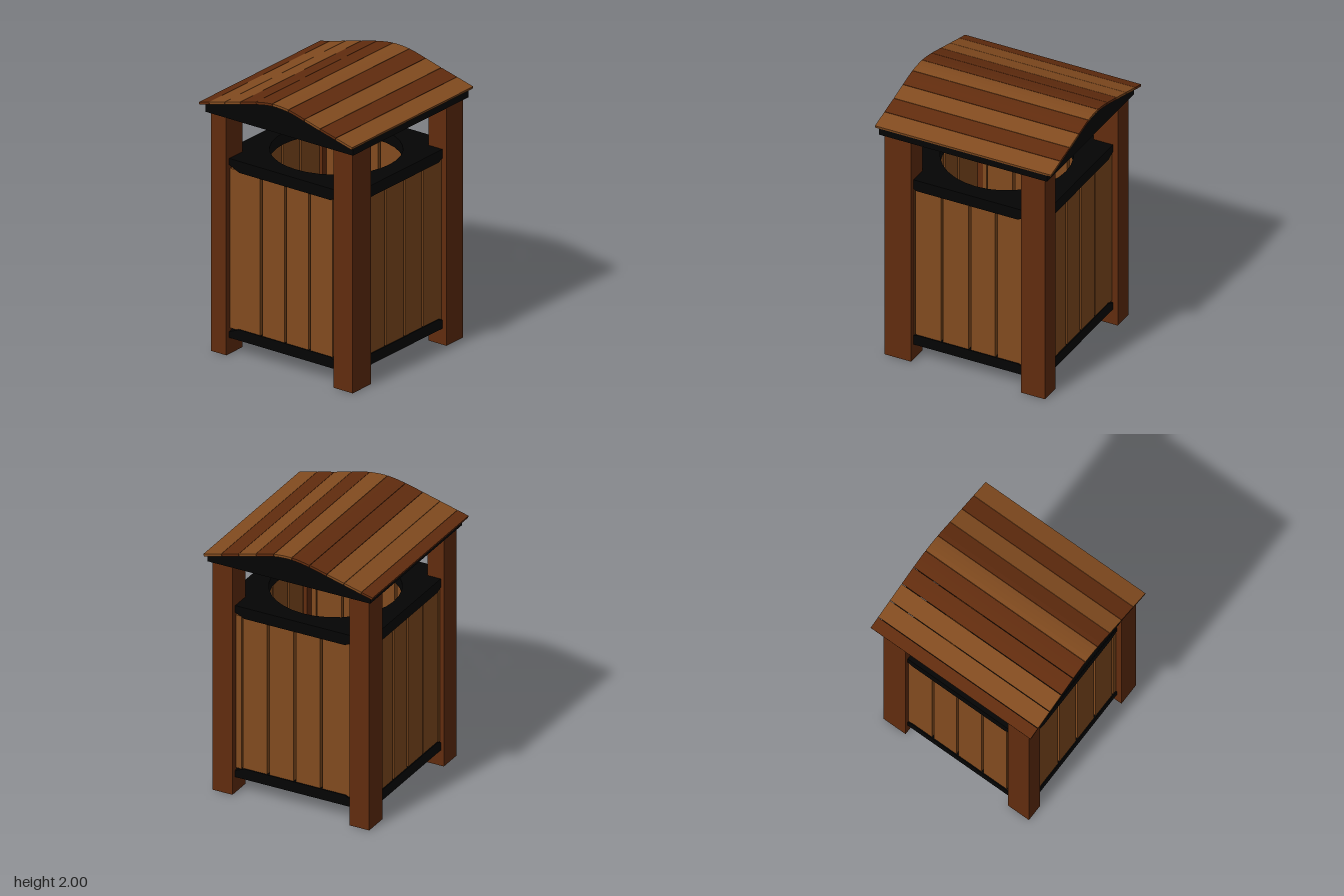
import * as THREE from 'three';

const paint = (color) => new THREE.MeshStandardMaterial({ color, flatShading: true });
const darkWood = paint(0x612c0e);
const lightWood = paint(0x824b1f);
const black = paint(0x040404);

const C = 0.006;         // centre of the bin body in x and z
const HALF = 0.582;      // half width of the trays
const CUT = 0.39;        // where the tray corners start to be trimmed
const SLAT = 0.095;      // slat thickness

// Wall slat seams, with the end slats running into the posts
const FRONT_SEAMS = [-0.53, -0.385, -0.2, 0.008, 0.215, 0.413, 0.53];
const SIDE_SEAMS = [-0.53, -0.387, -0.217, -0.01, 0.204, 0.407, 0.53];

// Roof curve, one point per board seam
const ROOF = new THREE.SplineCurve([[-0.662, 1.85], [-0.575, 1.872], [-0.44, 1.907], [-0.305, 1.942],
  [-0.17, 1.976], [-0.03, 1.998], [0.11, 1.99], [0.25, 1.956], [0.385, 1.92], [0.52, 1.886],
  [0.66, 1.85]].map(([x, y]) => new THREE.Vector2(x, y)));
const ROOF_DARK = [1, 0, 0, 1, 1, 0, 1, 0, 1, 0];
const BOARD = 0.018;

function add(group, name, geometry, material) {
  const mesh = new THREE.Mesh(geometry, material);
  mesh.name = name;
  group.add(mesh);
  return mesh;
}

// Box given by its limits
function block(group, name, material, x0, x1, y0, y1, z0, z1) {
  const mesh = add(group, name, new THREE.BoxGeometry(x1 - x0, y1 - y0, z1 - z0), material);
  mesh.position.set((x0 + x1) / 2, (y0 + y1) / 2, (z0 + z1) / 2);
}

// Square slab whose corners are trimmed by a slope on one face
function tray(y0, y1, holeRadius, trimTop) {
  const a = HALF, b = CUT;
  const shape = new THREE.Shape([[b, -a], [a, -b], [a, b], [b, a], [-b, a], [-a, b], [-a, -b], [-b, -a]]
    .map(([x, y]) => new THREE.Vector2(x, y)));
  if (holeRadius) shape.holes.push(new THREE.Path().absarc(0, 0, holeRadius, 0, Math.PI * 2, true));
  const geo = new THREE.ExtrudeGeometry(shape, { depth: y1 - y0, bevelEnabled: false, curveSegments: 16 });
  geo.rotateX(-Math.PI / 2).translate(0, y0, 0);
  const p = geo.attributes.position;
  for (let i = 0; i < p.count; i++) {
    const x = p.getX(i), y = p.getY(i), z = p.getZ(i);
    const atSquareFace = Math.abs(y - (trimTop ? y0 : y1)) < 1e-4;
    if (atSquareFace && Math.max(Math.abs(x), Math.abs(z)) > 0.5) {
      p.setX(i, Math.sign(x) * a);
      p.setZ(i, Math.sign(z) * a);
    }
  }
  geo.translate(C, 0, C);
  geo.computeVertexNormals();
  return geo;
}

// Extrude an outline in x, y along z
function extrudeZ(points, z0, z1) {
  const shape = new THREE.Shape(points);
  return new THREE.ExtrudeGeometry(shape, { depth: z1 - z0, bevelEnabled: false }).translate(0, 0, z0);
}

// Point under the roof curve at a given depth
function underRoof(t, depth) {
  const tangent = ROOF.getTangent(t);
  return ROOF.getPoint(t).add(new THREE.Vector2(tangent.y, -tangent.x).multiplyScalar(depth));
}

export function createModel() {
  const model = new THREE.Group();
  model.name = 'litterBin';

  // Corner posts
  const posts = new THREE.Group();
  posts.name = 'posts';
  block(posts, 'frontLeftPost', darkWood, 0.457, 0.623, 0, 1.785, 0.42, 0.626);
  block(posts, 'frontRightPost', darkWood, -0.6, -0.47, 0, 1.785, 0.442, 0.622);
  block(posts, 'backLeftPost', darkWood, 0.468, 0.623, 0, 1.785, -0.615, -0.428);
  block(posts, 'backRightPost', darkWood, -0.6, -0.446, 0, 1.785, -0.615, -0.428);
  model.add(posts);

  // Floor and the rim with its round opening
  add(model, 'floorTray', tray(0.12, 0.2, 0, true), black);
  add(model, 'topRim', tray(1.365, 1.45, 0.457, false), black);

  // Slatted walls
  const walls = new THREE.Group();
  walls.name = 'wallSlats';
  const slats = (seams, place) => {
    for (let i = 0; i < 6; i++) {
      // The end slats butt against their neighbours
      const gapA = i < 2 ? 0 : 0.009, gapB = i > 3 ? 0 : 0.009;
      place(seams[i] + gapA, seams[i + 1] - (i === 0 ? 0 : gapB));
    }
  };
  for (const side of [-1, 1]) {
    const outer = C + side * (HALF - 0.008), inner = outer - side * SLAT;
    const lo = Math.min(inner, outer), hi = Math.max(inner, outer);
    slats(FRONT_SEAMS, (a, b) => block(walls, side > 0 ? 'frontSlat' : 'backSlat', lightWood,
      a, b, 0.19, 1.375, lo, hi));
    slats(SIDE_SEAMS, (a, b) => block(walls, side > 0 ? 'leftSlat' : 'rightSlat', lightWood,
      lo, hi, 0.19, 1.375, a, b));
  }
  model.add(walls);

  // Roof frame: arched gables joined by side beams
  const frame = new THREE.Group();
  frame.name = 'roofFrame';
  const gable = [new THREE.Vector2(-0.625, 1.78), new THREE.Vector2(0.648, 1.78)];
  for (let i = 39; i >= 1; i--) gable.push(underRoof(i / 40, BOARD + 0.001));
  gable[2].x = 0.648;
  gable[gable.length - 1].x = -0.625;
  add(frame, 'frontGable', extrudeZ(gable, 0.565, 0.655), black);
  add(frame, 'backGable', extrudeZ(gable, -0.645, -0.555), black);
  block(frame, 'leftBeam', black, 0.55, 0.648, 1.78, 1.832, -0.6, 0.6);
  block(frame, 'rightBeam', black, -0.625, -0.527, 1.78, 1.836, -0.6, 0.6);
  model.add(frame);

  // Curved roof of separate boards
  const roof = new THREE.Group();
  roof.name = 'roofBoards';
  ROOF_DARK.forEach((dark, i) => {
    const top = [], bottom = [];
    for (let k = 0; k <= 4; k++) {
      const t = (i + 0.012 + 0.976 * k / 4) / ROOF_DARK.length;
      top.unshift(underRoof(t, 0));
      bottom.push(underRoof(t, BOARD));
    }
    add(roof, 'roofBoard', extrudeZ([...bottom, ...top], -0.68, 0.68), dark ? darkWood : lightWood);
  });
  model.add(roof);

  return model;
}
